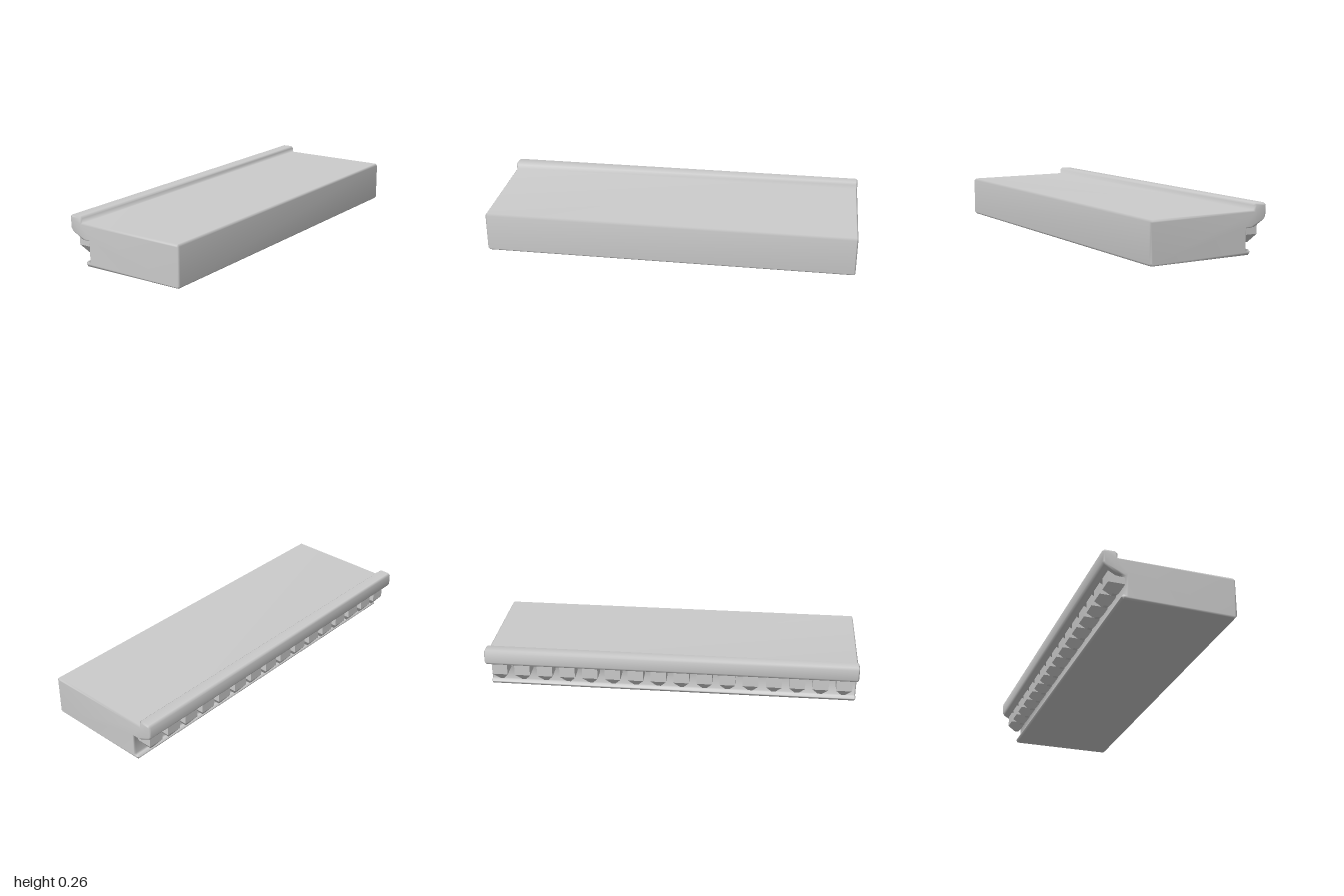
import * as THREE from 'three';
import { mergeVertices, toCreasedNormals } from 'three/addons/utils/BufferGeometryUtils.js';

const LENGTH = 2, BEVEL = 0.008;
const material = new THREE.MeshStandardMaterial({ color: 0xcccccc });

// Slab with raised rim, overhanging cornice and bottom lip, one profile along z
function slabGeometry() {
  const profile = [
    [-0.25, 0.012], [-0.24, 0], [0.333, 0], [0.345, 0.012],
    [0.345, 0.21], [0.333, 0.221], [-0.268, 0.221], [-0.268, 0.245],
    [-0.28, 0.256], [-0.333, 0.256], [-0.345, 0.245], [-0.345, 0.187],
    [-0.335, 0.172], [-0.275, 0.138], [-0.25, 0.134], [-0.225, 0.134],
    [-0.225, 0.028], [-0.24, 0.028], [-0.25, 0.017],
  ];
  const shape = new THREE.Shape(profile.map(([x, y]) => new THREE.Vector2(x, y)));
  const geo = new THREE.ExtrudeGeometry(shape, {
    depth: LENGTH - 2 * BEVEL, bevelEnabled: true, bevelSegments: 1,
    bevelThickness: BEVEL, bevelSize: BEVEL, bevelOffset: -BEVEL,
  });
  geo.translate(0, 0, BEVEL - LENGTH / 2);
  // Shared vertices give soft shading over the bevels
  geo.deleteAttribute('normal');
  geo.deleteAttribute('uv');
  const smooth = mergeVertices(geo, 1e-4);
  smooth.computeVertexNormals();
  return smooth;
}

// Square block that tapers to a blunt point below
function dentilGeometry() {
  const yTop = 0.165, yTaper = 0.097, yTip = 0.054;
  const geo = new THREE.BoxGeometry(0.088, 1, 0.084, 1, 2, 1);
  const p = geo.attributes.position;
  for (let i = 0; i < p.count; i++) {
    const y = p.getY(i);
    if (y < -0.1) {
      p.setXYZ(i, p.getX(i) * 0.26, yTip, p.getZ(i) * 0.26);
    } else {
      p.setY(i, y > 0.1 ? yTop : yTaper);
    }
  }
  // Upper corners slope inward so they stay inside the cornice
  for (let i = 0; i < p.count; i++) {
    if (p.getY(i) === yTop && p.getX(i) > 0) p.setY(i, 0.15);
  }
  return toCreasedNormals(geo, 0.5);
}

export function createModel() {
  const model = new THREE.Group();
  model.name = 'corniceLedge';

  const slab = new THREE.Mesh(slabGeometry(), material);
  slab.name = 'slab';
  model.add(slab);

  // Row of dentils under the cornice
  const dentils = new THREE.Group();
  dentils.name = 'dentils';
  const geo = dentilGeometry(), count = 16, reach = 0.93;
  for (let i = 0; i < count; i++) {
    const dentil = new THREE.Mesh(geo, material);
    dentil.name = 'dentil';
    dentil.position.set(-0.265, 0, -reach + (2 * reach * i) / (count - 1));
    dentils.add(dentil);
  }
  model.add(dentils);
  return model;
}
